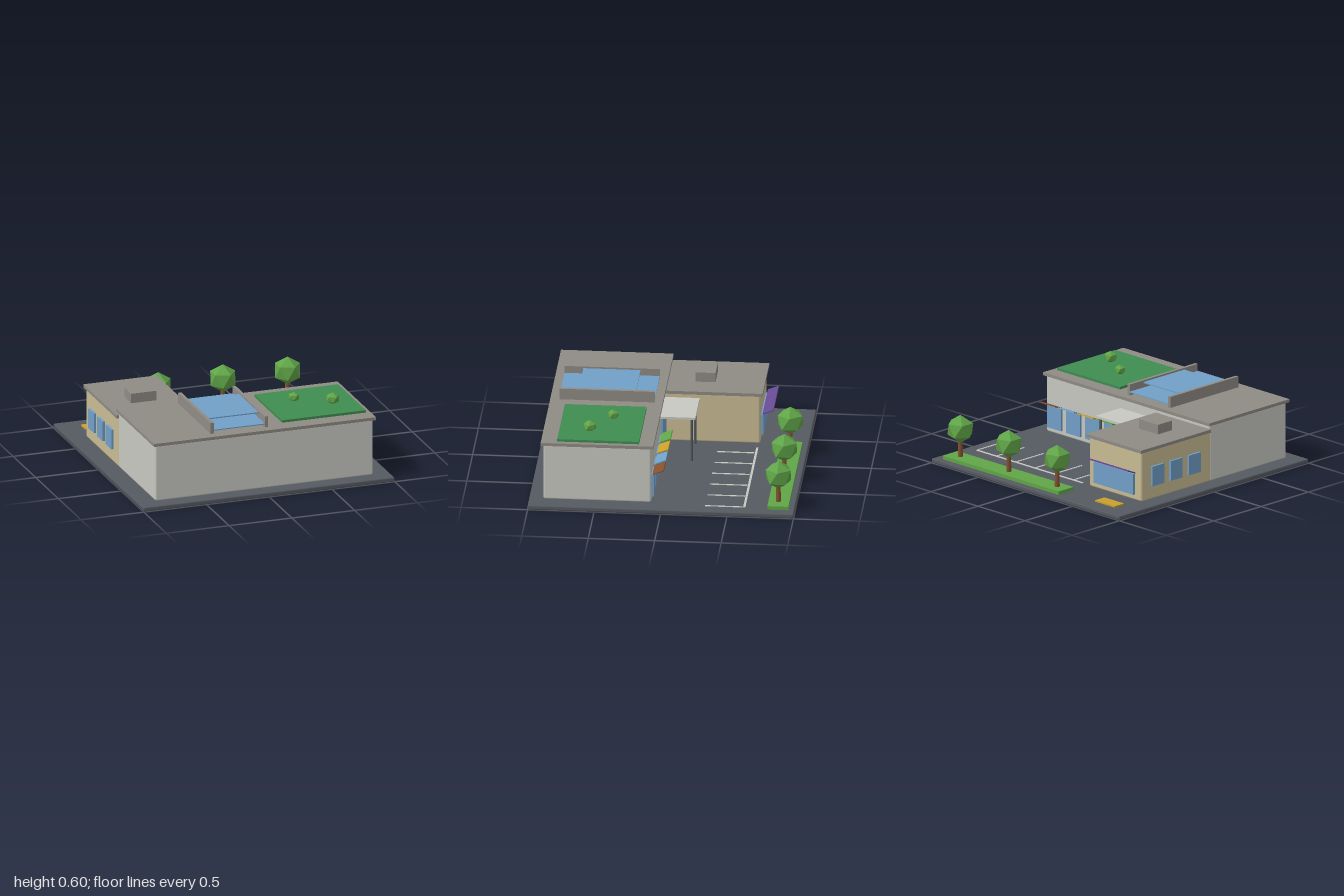
import * as THREE from 'three';
import { RoundedBoxGeometry } from 'three/addons/geometries/RoundedBoxGeometry.js';

const mat = (name, color, extra) => Object.assign(new THREE.MeshStandardMaterial({ color, ...extra }), { name });

export function createModel() {
  const asphalt = mat('asphalt', 0x555a61);
  const roofGrey = mat('roof grey', 0x8f8b85);
  const paleWall = mat('pale wall', 0xc8c8c2);
  const tanWall = mat('tan wall', 0xc9bc94);
  const glass = mat('glass blue', 0x72a0c8);
  const lawn = mat('roof lawn green', 0x3f8c50);
  const leaf = mat('leaf green', 0x60a548, { flatShading: true });
  const yellow = mat('yellow', 0xc8a02c);
  const purple = mat('purple', 0x664a92);
  const brown = mat('brown', 0x85522e);

  const model = new THREE.Group();
  model.name = 'shopBuilding';

  const add = (name, geometry, material, x, y, z) => {
    const mesh = new THREE.Mesh(geometry, material);
    mesh.name = name;
    mesh.position.set(x, y, z);
    model.add(mesh);
    return mesh;
  };
  // Box from its bounds; an optional bevel softens the edges
  const block = (name, material, x0, x1, y0, y1, z0, z1, bevel = 0) => {
    const size = [x1 - x0, y1 - y0, z1 - z0];
    const geometry = bevel ? new RoundedBoxGeometry(...size, 1, bevel) : new THREE.BoxGeometry(...size);
    return add(name, geometry, material, (x0 + x1) / 2, (y0 + y1) / 2, (z0 + z1) / 2);
  };
  // Thin slab rising away from the wall towards -z
  const awning = (material, x0, x1, z) => {
    const slab = add('awning', new THREE.BoxGeometry(x1 - x0, 0.008, 0.088), material, (x0 + x1) / 2, 0.273, z);
    slab.rotation.x = 0.38;
  };
  // Icosahedron standing on a vertex
  const foliage = (name, x, y, z, r, squash = 1) => {
    const ball = new THREE.IcosahedronGeometry(r, 0).rotateZ(-0.5536).scale(1, squash, 1);
    add(name, ball, leaf, x, y, z);
  };

  // Ground
  block('groundSlab', asphalt, -1, 1, 0, 0.035, -1, 1, 0.01);
  block('grassStrip', leaf, -0.31, 0.923, 0.03, 0.063, -0.955, -0.797);
  block('yellowPad', yellow, -0.825, -0.615, 0.03, 0.046, -0.875, -0.775);
  block('parkingLineLong', paleWall, -0.23, 0.898, 0.034, 0.039, -0.63, -0.613);
  for (let i = 0; i < 6; i++) {
    const x = -0.131 + i * 0.205;
    block('parkingLine', paleWall, x - 0.007, x + 0.007, 0.034, 0.039, -0.61, -0.326);
  }

  // Main hall and side wing
  block('mainWalls', paleWall, -0.87, 0.867, 0.034, 0.478, 0.082, 0.894, 0.015);
  block('mainRoof', roofGrey, -0.885, 0.882, 0.474, 0.498, 0.065, 0.912);
  block('wingWalls', tanWall, -0.87, -0.315, 0.034, 0.426, -0.637, 0.1, 0.015);
  block('wingRoof', roofGrey, -0.885, -0.3, 0.422, 0.447, -0.655, 0.082);
  block('roofUnit', roofGrey, -0.69, -0.49, 0.445, 0.522, -0.285, -0.136);

  // Skylight between two curbs
  for (const x of [-0.41, 0.022]) block('skylightCurb', roofGrey, x, x + 0.026, 0.49, 0.584, 0.125, 0.842);
  block('skylightLower', glass, -0.385, 0.023, 0.52, 0.528, 0.125, 0.842);
  block('skylightUpper', glass, -0.385, 0.023, 0.562, 0.571, 0.27, 0.7);

  // Roof garden
  block('roofLawn', lawn, 0.178, 0.845, 0.49, 0.517, 0.175, 0.79);
  foliage('roofBush', 0.41, 0.548, 0.407, 0.045, 0.85);
  foliage('roofBush', 0.665, 0.557, 0.56, 0.054, 0.85);

  // Shop fronts along the back of the main hall
  [leaf, yellow, glass, brown].forEach((material, i) => {
    const x = 0.075 + i * 0.2023;
    block('shopWindow', glass, x + 0.01, x + 0.158, 0.075, 0.25, 0.064, 0.09);
    awning(material, x, x + 0.17, 0.03);
  });

  // Entrance with canopy
  block('entranceGlass', glass, -0.26, 0.03, 0.075, 0.357, 0.064, 0.09);
  block('canopy', paleWall, -0.3, 0.077, 0.378, 0.396, -0.182, 0.085);
  for (const x of [-0.27, 0.05]) {
    add('canopyPost', new THREE.CylinderGeometry(0.01, 0.01, 0.35, 8), asphalt, x, 0.205, -0.152);
  }

  // Wing windows
  block('wingBackWindow', glass, -0.8, -0.38, 0.08, 0.245, -0.655, -0.63);
  awning(purple, -0.82, -0.36, -0.692);
  for (const z of [-0.475, -0.283, -0.09]) {
    block('wingSideWindow', glass, -0.888, -0.865, 0.14, 0.295, z - 0.062, z + 0.062);
  }

  // Trees on the grass strip
  for (const x of [-0.21, 0.305, 0.82]) {
    add('treeTrunk', new THREE.CylinderGeometry(0.017, 0.02, 0.15, 7), brown, x, 0.13, -0.872);
    foliage('treeCrown', x, 0.279, -0.872, 0.11);
  }
  return model;
}
